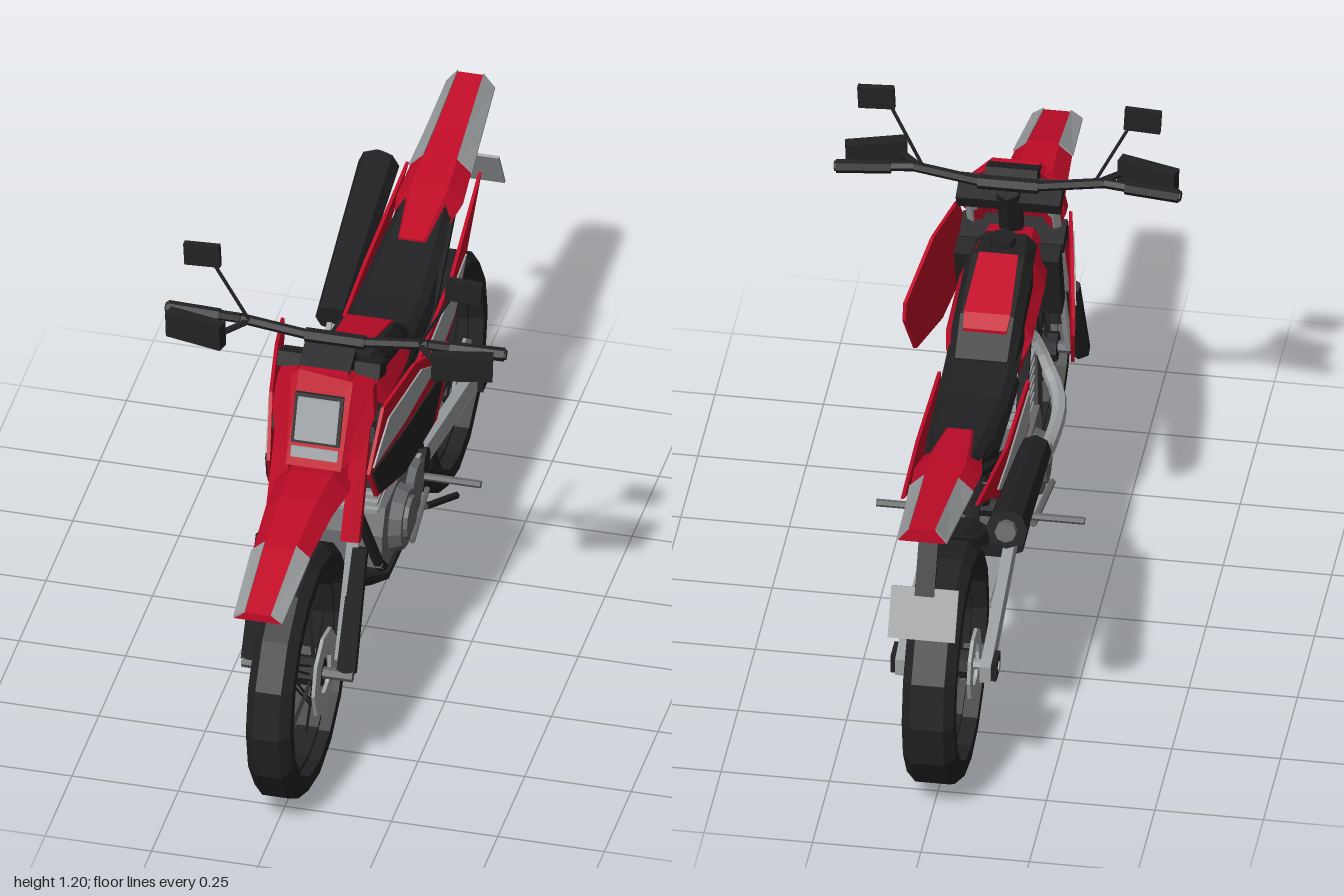
import * as THREE from 'three';

const material = (name, color) => Object.assign(new THREE.MeshStandardMaterial({ color }), { name });
const V = (a) => new THREE.Vector3(...a);

export function createModel() {
  const root = new THREE.Group();
  root.name = 'dirtBike';
  const red = material('red', 0xc20c28);
  const black = material('black', 0x222224);
  const silver = material('silver', 0x9da0a2);
  const steel = material('steel', 0x66676a);

  // ---- helpers ----
  const add = (name, mat, geo) => {
    const g = geo.index ? geo.toNonIndexed() : geo;
    g.computeVertexNormals(); // faceted look
    const m = new THREE.Mesh(g, mat);
    m.name = name;
    root.add(m);
    return m;
  };
  const mirrored = (geo) => {
    const g = geo.index ? geo.toNonIndexed() : geo.clone();
    g.scale(-1, 1, 1);
    const p = g.attributes.position, a = new THREE.Vector3(), b = new THREE.Vector3();
    for (let i = 0; i < p.count; i += 3) {
      a.fromBufferAttribute(p, i + 1);
      b.fromBufferAttribute(p, i + 2);
      p.setXYZ(i + 1, b.x, b.y, b.z);
      p.setXYZ(i + 2, a.x, a.y, a.z);
    }
    return g;
  };
  const pair = (name, mat, geo) => {
    add(name + 'Left', mat, geo);
    add(name + 'Right', mat, mirrored(geo));
  };
  // straight bar between two points
  const bar = (a, b, r, r2 = r, sides = 6) => {
    const p = V(a), q = V(b), d = q.clone().sub(p);
    const g = new THREE.CylinderGeometry(r2, r, d.length(), sides);
    g.applyQuaternion(new THREE.Quaternion().setFromUnitVectors(new THREE.Vector3(0, 1, 0), d.normalize()));
    const c = p.add(q).multiplyScalar(0.5);
    return g.translate(c.x, c.y, c.z);
  };
  const box = (w, h, d, x, y, z, rx = 0, ry = 0, rz = 0) =>
    new THREE.BoxGeometry(w, h, d).rotateX(rx).rotateY(ry).rotateZ(rz).translate(x, y, z);
  const tube = (pts, r) =>
    new THREE.TubeGeometry(new THREE.CatmullRomCurve3(pts.map(V)), 20, r, 7, false);
  // side panel from a [z, y] outline, bent outward by x = bend(z)
  const panel = (pts, bend, t) => {
    const g = new THREE.ExtrudeGeometry(new THREE.Shape(pts.map(([z, y]) => new THREE.Vector2(-z, y))),
      { depth: t, bevelEnabled: false }).rotateY(Math.PI / 2);
    const p = g.attributes.position;
    for (let i = 0; i < p.count; i++) p.setX(i, p.getX(i) + bend(p.getZ(i), p.getY(i)));
    return g;
  };
  // front panel from an [x, y] outline, leaning back and swept at the sides
  const mask = (pts, off, t) => {
    const g = new THREE.ExtrudeGeometry(new THREE.Shape(pts.map((p) => new THREE.Vector2(...p))),
      { depth: t, bevelEnabled: false });
    const p = g.attributes.position;
    for (let i = 0; i < p.count; i++) {
      const sweep = Math.max(0, Math.abs(p.getX(i)) - 0.065);
      p.setZ(i, p.getZ(i) + off + 0.47 - (p.getY(i) - 0.78) * 0.42 - sweep * 0.9);
    }
    return g;
  };
  // skin over rings ordered front to back, each counter-clockwise from the front
  const loft = (rings) => {
    const n = rings[0].length, pos = rings.flat(2), idx = [];
    for (let i = 0; i < rings.length - 1; i++) for (let j = 0; j < n; j++) {
      const k = (j + 1) % n, A = i * n + j, B = i * n + k;
      idx.push(A, A + n, B, B, A + n, B + n);
    }
    const e = (rings.length - 1) * n;
    for (let j = 1; j < n - 1; j++) idx.push(0, j, j + 1, e, e + j + 1, e + j);
    const g = new THREE.BufferGeometry();
    g.setAttribute('position', new THREE.Float32BufferAttribute(pos, 3));
    g.setIndex(idx);
    return g;
  };
  const hex = ([z, yb, yt, wb, wm, wt]) => {
    const ym = yb + (yt - yb) * 0.6;
    return [[wb, yb, z], [wm, ym, z], [wt, yt, z], [-wt, yt, z], [-wm, ym, z], [-wb, yb, z]];
  };
  const fin = ([z, y, w, drop]) => [[w, y - drop, z], [w * 0.55, y, z], [-w * 0.55, y, z], [-w, y - drop, z],
    [-w * 0.55, y - 0.014, z], [w * 0.55, y - 0.014, z]];
  const edge = ([z, y, w, drop]) => [[w + 0.002, y - drop, z], [w + 0.002, y - drop + 0.006, z],
    [w * 0.55, y + 0.005, z], [w * 0.55, y - 0.002, z]];
  const ring = (ri, ro, hw, seg, bevel = 0) => new THREE.LatheGeometry([[ri, -hw], [ro - bevel, -hw],
    [ro, -hw + bevel], [ro, hw - bevel], [ro - bevel, hw], [ri, hw], [ri, -hw]]
    .map((p) => new THREE.Vector2(...p)), seg).rotateZ(Math.PI / 2);

  // ---- wheels ----
  const wheel = (name, y, z, ro, ri, hw) => {
    const put = (part, mat, g, x = 0) => add(name + part, mat, g.translate(x, y, z));
    put('Tyre', black, ring(ri, ro, hw, 16, 0.022));
    put('Rim', black, ring(ri - 0.01, ri + 0.005, 0.025, 16));
    put('Hub', black, ring(0.005, 0.035, 0.06, 8));
    for (let i = 0; i < 20; i++) {
      const a = i * Math.PI / 10, b = a + (i % 4 < 2 ? 0.3 : -0.3), s = i % 2 ? 0.035 : -0.035;
      put('Spoke', black, bar([s, 0.03 * Math.sin(a), 0.03 * Math.cos(a)],
        [0, ri * Math.sin(b), ri * Math.cos(b)], 0.0028, 0.0028, 4));
    }
    return put;
  };
  const front = wheel('front', 0.307, 0.63, 0.3, 0.245, 0.052);
  front('Disc', silver, ring(0.05, 0.105, 0.004, 9), 0.062);
  front('Axle', steel, ring(0.002, 0.014, 0.13, 6));
  const rear = wheel('rear', 0.29, -0.64, 0.283, 0.225, 0.06);
  rear('Disc', silver, ring(0.05, 0.085, 0.004, 10), -0.066);
  rear('Sprocket', silver, ring(0.05, 0.085, 0.004, 10), 0.066);
  rear('Axle', silver, ring(0.002, 0.012, 0.125, 6));

  // ---- fork and steering ----
  pair('forkTube', silver, bar([0.095, 0.33, 0.605], [0.095, 0.95, 0.315], 0.016));
  pair('forkSlider', black, bar([0.112, 0.31, 0.62], [0.112, 0.57, 0.495], 0.025, 0.021));
  pair('forkGuard', red, bar([0.09, 0.585, 0.495], [0.09, 0.93, 0.335], 0.025, 0.022));
  for (const [y, z] of [[0.8, 0.36], [0.94, 0.31]]) add('forkClamp', black, box(0.24, 0.035, 0.07, 0, y, z, -0.4));
  add('steeringHead', black, bar([0, 0.74, 0.37], [0, 0.97, 0.28], 0.03));
  const grips = [[0.4, 1.0, 0.27], [0.22, 1.008, 0.285], [0.06, 0.985, 0.28]];
  for (let i = 0; i < 2; i++) pair('handlebar', black, bar(grips[i], grips[i + 1], 0.012));
  add('handlebarCentre', black, bar([-0.07, 0.985, 0.28], [0.07, 0.985, 0.28], 0.017));
  pair('grip', black, bar([0.27, 1.004, 0.28], [0.395, 1.0, 0.27], 0.016));
  pair('handGuard', black, box(0.14, 0.064, 0.03, 0.313, 1.0, 0.34, 0, 0.25, -0.03));
  pair('handGuardArm', black, bar([0.25, 1.0, 0.34], [0.2, 1.005, 0.285], 0.008));
  pair('mirrorStem', black, bar([0.2, 1.01, 0.29], [0.275, 1.155, 0.305], 0.004));
  pair('mirror', black, box(0.084, 0.056, 0.016, 0.307, 1.18, 0.3, 0, 0, -0.05));
  add('instruments', black, box(0.12, 0.04, 0.07, 0, 0.965, 0.35, 0.4));

  // ---- headlight fairing ----
  const rect = (w, y0, y1) => [[-w, y0], [w, y0], [w, y1], [-w, y1]];
  add('fairing', red, mask([[-0.065, 0.765], [0.065, 0.765], [0.072, 0.955], [0.055, 0.972], [-0.055, 0.972], [-0.072, 0.955]], -0.025, 0.035));
  pair('fairingWing', red, mask([[0.06, 0.765], [0.098, 0.79], [0.12, 0.86], [0.112, 0.93], [0.07, 0.957]], -0.025, 0.033));
  add('headlightFrame', black, mask(rect(0.057, 0.818, 0.925), 0.01, 0.006));
  add('headlight', silver, mask(rect(0.049, 0.826, 0.917), 0.016, 0.005));
  add('fairingStripe', silver, mask(rect(0.055, 0.786, 0.808), 0.01, 0.005));

  // ---- front mudguard ----
  const guard = [[1.0, 0.702, 0.056, 0.02], [0.8, 0.752, 0.066, 0.03], [0.62, 0.768, 0.078, 0.035], [0.5, 0.76, 0.088, 0.04], [0.38, 0.735, 0.07, 0.03]];
  add('frontMudguard', red, loft(guard.map(fin)));
  pair('mudguardStripe', silver, loft([guard[0], [0.79, 0.753, 0.067, 0.03]].map(edge)));

  // ---- tank, shrouds, seat ----
  add('tank', red, loft([[0.34, 0.68, 0.83, 0.05, 0.085, 0.05], [0.19, 0.64, 0.868, 0.07, 0.1, 0.06],
    [0, 0.66, 0.825, 0.07, 0.1, 0.06], [-0.06, 0.7, 0.78, 0.06, 0.09, 0.05]].map(hex)));
  add('tankTop', black, loft([[0.26, 0.8, 0.865, 0.06, 0.07, 0.045], [0.14, 0.8, 0.884, 0.08, 0.078, 0.06],
    [-0.03, 0.76, 0.832, 0.085, 0.08, 0.062], [-0.12, 0.72, 0.77, 0.07, 0.075, 0.06]].map(hex)));
  add('tankPanel', red, loft([[0.14, 0.88, 0.889, 0.045, 0.045, 0.045], [-0.03, 0.83, 0.838, 0.054, 0.054, 0.054],
    [-0.065, 0.805, 0.816, 0.05, 0.05, 0.05]].map(hex)));
  add('tankCap', black, bar([0, 0.86, 0.2], [0, 0.895, 0.2], 0.032, 0.03, 8));
  const flare = (off) => (z) => 0.115 + (0.43 - z) * 0.175 + off;
  pair('shroud', red, panel([[0.44, 0.735], [0.36, 0.87], [0.19, 0.882], [0, 0.825], [-0.005, 0.78], [0.07, 0.655], [0.25, 0.62], [0.4, 0.65]], flare(0), 0.008));
  pair('shroudStripe', silver, panel([[0.425, 0.745], [0.34, 0.83], [0.16, 0.85], [0.075, 0.808], [0.25, 0.765]], flare(0.008), 0.004));
  pair('shroudVent', black, panel([[0.43, 0.735], [0.25, 0.742], [0.03, 0.772], [0.1, 0.66], [0.25, 0.625], [0.39, 0.655]], flare(0.008), 0.004));
  pair('radiator', black, box(0.06, 0.19, 0.05, 0.09, 0.72, 0.3, -0.3));
  add('seat', black, loft([[-0.04, 0.715, 0.79, 0.06, 0.085, 0.06], [-0.12, 0.715, 0.765, 0.07, 0.085, 0.065],
    [-0.25, 0.72, 0.757, 0.07, 0.082, 0.065], [-0.42, 0.735, 0.783, 0.065, 0.075, 0.055], [-0.59, 0.765, 0.812, 0.05, 0.06, 0.045]].map(hex)));

  // ---- tail and number plate ----
  const tail = [[-0.43, 0.79, 0.05, 0.025], [-0.6, 0.822, 0.078, 0.035], [-0.8, 0.852, 0.065, 0.035], [-0.98, 0.883, 0.055, 0.035]];
  add('tail', red, loft(tail.map(fin)));
  pair('tailStripe', silver, loft([[-0.7, 0.837, 0.072, 0.035], ...tail.slice(2)].map(edge)));
  add('tailLight', red, box(0.07, 0.03, 0.09, 0, 0.852, -0.92, 0.15));
  add('plateBracket', black, box(0.045, 0.17, 0.012, 0, 0.75, -0.905, 0.5));
  add('numberPlate', silver, box(0.155, 0.12, 0.007, 0, 0.64, -0.965, 0.5));

  // ---- side panels ----
  const hug = (off) => (z) => 0.098 + off - Math.max(0, -z - 0.45) * 0.06;
  pair('sidePanel', red, panel([[-0.08, 0.7], [-0.4, 0.728], [-0.73, 0.79], [-0.56, 0.7], [-0.47, 0.63], [-0.38, 0.593], [-0.08, 0.578]], hug(0), 0.008));
  pair('sidePanelStripe', silver, panel([[-0.1, 0.684], [-0.4, 0.7], [-0.53, 0.7], [-0.4, 0.622], [-0.3, 0.608], [-0.1, 0.602]], hug(0.008), 0.004));
  add('airbox', black, loft([[-0.06, 0.59, 0.73, 0.06, 0.08, 0.06], [-0.33, 0.61, 0.74, 0.06, 0.08, 0.06], [-0.5, 0.7, 0.765, 0.03, 0.05, 0.04]].map(hex)));

  // ---- frame ----
  const frame = [
    [[0.03, 0.74, 0.36], [0.06, 0.52, 0.3], [0.08, 0.33, 0.2], [0.08, 0.26, 0.13], [0.08, 0.26, -0.12], [0.085, 0.4, -0.16], [0.085, 0.52, -0.1], [0.07, 0.7, 0.1]],
    [[0.085, 0.5, -0.12], [0.07, 0.6, -0.25], [0.05, 0.77, -0.6]],
  ];
  for (const path of frame) for (let i = 0; i < path.length - 1; i++) pair('frameTube', black, bar(path[i], path[i + 1], 0.014));
  add('skidPlate', black, loft([[0.3, 0.32, 0.35, 0.05, 0.07, 0.07], [0.18, 0.25, 0.29, 0.06, 0.1, 0.1], [-0.14, 0.245, 0.28, 0.06, 0.1, 0.1]].map(hex)));

  // ---- engine ----
  const half = (w) => () => -w;
  add('crankcase', steel, panel([[0.2, 0.4], [0.17, 0.46], [-0.08, 0.46], [-0.15, 0.42], [-0.15, 0.32], [-0.1, 0.275], [0.15, 0.275], [0.21, 0.32]], half(0.09), 0.18));
  pair('engineCover', steel, bar([0.08, 0.37, 0.07], [0.118, 0.37, 0.07], 0.085, 0.07, 12));
  pair('engineCap', steel, bar([0.1, 0.375, 0.07], [0.128, 0.375, 0.07], 0.055, 0.05, 12));
  pair('clutchCover', steel, bar([0.08, 0.37, -0.07], [0.108, 0.37, -0.07], 0.068, 0.055, 10));
  add('cylinder', steel, box(0.11, 0.2, 0.09, 0, 0.53, 0.13, 0.1));
  for (let i = 0; i < 7; i++) add('coolingFin', silver, box(0.15, 0.012, 0.12, 0, 0.46 + i * 0.022, 0.123 + i * 0.003, 0.1));
  add('cylinderHead', black, box(0.13, 0.06, 0.11, 0, 0.64, 0.14, 0.1));

  // ---- exhaust on the right side ----
  add('exhaustPipe', silver, tube([[0, 0.6, 0.2], [-0.04, 0.58, 0.29], [-0.09, 0.48, 0.29], [-0.13, 0.455, 0.2], [-0.135, 0.46, 0], [-0.135, 0.53, -0.15], [-0.15, 0.63, -0.32]], 0.018));
  add('silencer', black, bar([-0.15, 0.645, -0.28], [-0.16, 0.752, -0.76], 0.038, 0.048, 8));
  add('silencerTip', steel, bar([-0.16, 0.752, -0.76], [-0.16, 0.757, -0.78], 0.025, 0.025, 8));
  add('heatShield', silver, box(0.012, 0.045, 0.2, -0.155, 0.57, -0.2, 0.45));

  // ---- swingarm, chain, shock, inner mudguard ----
  pair('swingarm', silver, panel([[-0.1, 0.42], [-0.62, 0.325], [-0.68, 0.31], [-0.68, 0.268], [-0.6, 0.275], [-0.1, 0.37]], (z) => 0.075 + (z < -0.3 ? 0.01 : 0), 0.025));
  add('swingarmPivot', black, bar([-0.11, 0.39, -0.14], [0.11, 0.39, -0.14], 0.03, 0.03, 8));
  pair('axleBlock', black, box(0.02, 0.045, 0.06, 0.112, 0.29, -0.64));
  add('chainLower', black, bar([0.072, 0.35, -0.13], [0.072, 0.21, -0.63], 0.006));
  add('chainUpper', black, bar([0.072, 0.41, -0.13], [0.072, 0.372, -0.63], 0.006));
  add('shock', black, bar([0, 0.62, -0.15], [0, 0.4, -0.26], 0.018));
  for (let i = 0; i < 6; i++) {
    const t = i / 6;
    add('shockCoil', black, bar([0, 0.59 - t * 0.15, -0.165 - t * 0.075], [0, 0.575 - t * 0.15, -0.1725 - t * 0.075], 0.04, 0.036, 8));
  }
  add('innerMudguard', black, loft([[-0.34, 0.42, 0.05, 0.01], [-0.38, 0.5, 0.065, 0.015], [-0.45, 0.56, 0.07, 0.02], [-0.56, 0.598, 0.06, 0.02]].map(fin)));

  // ---- pegs, pedals and stand ----
  add('footPegs', steel, bar([-0.24, 0.355, -0.125], [0.24, 0.355, -0.125], 0.009));
  add('gearLever', steel, bar([0.12, 0.34, -0.1], [0.135, 0.33, 0.1], 0.007));
  add('brakePedal', steel, bar([-0.12, 0.33, -0.12], [-0.13, 0.3, 0.1], 0.008));
  add('kickStand', black, bar([0.115, 0.29, -0.1], [0.135, 0.185, -0.31], 0.009));
  return root;
}
